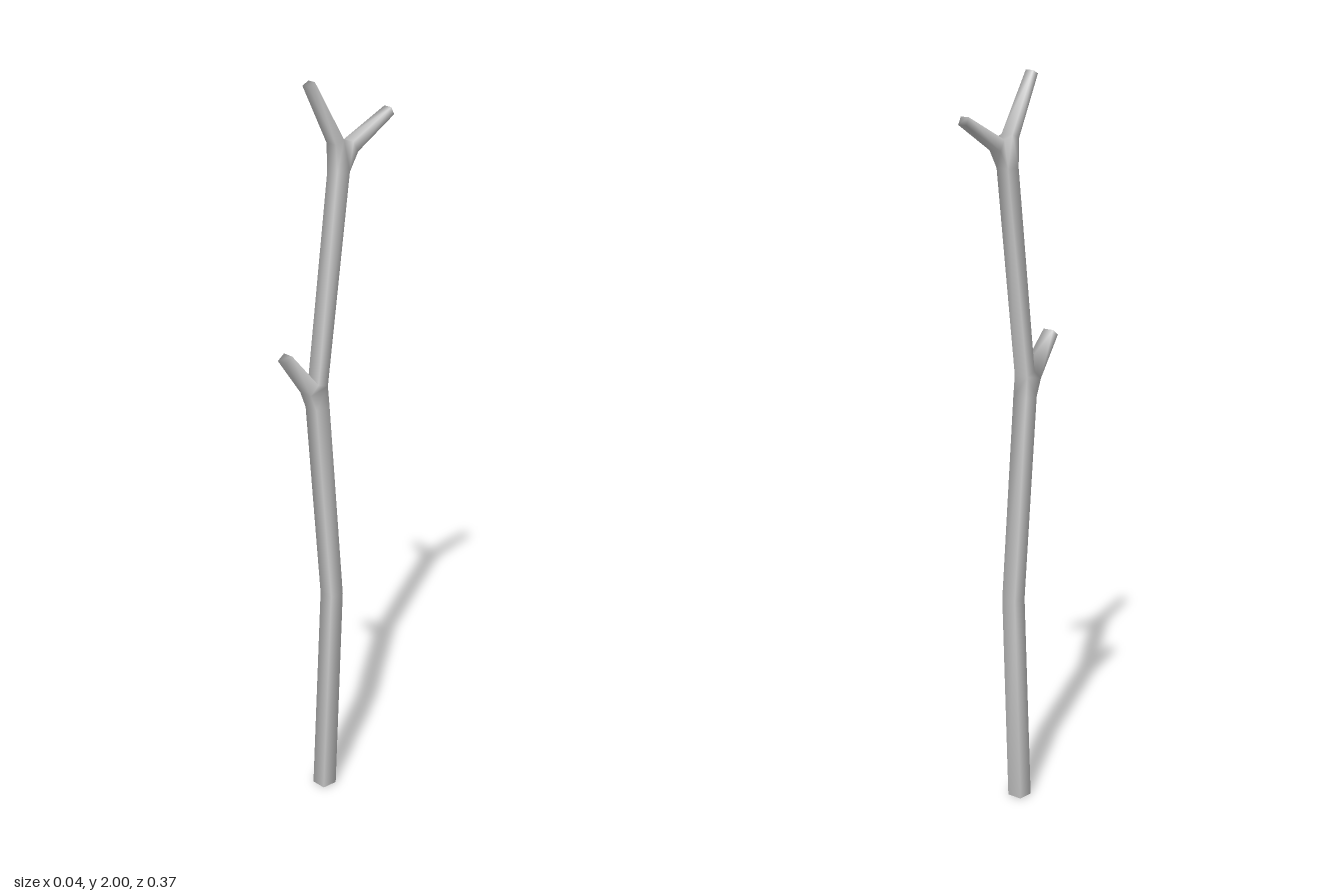
import * as THREE from 'three';

// Side outline, counter-clockwise seen from +x: [z, y, half width in x]
const OUTLINE = [
  // foot and back edge of the stem
  [0.069, 0, 0.022], [0.024, 0, 0.022], [-0.002, 0.585, 0.022],
  [0.045, 1.14, 0.022], [0.05, 1.2, 0.021], [-0.027, 1.757, 0.019],
  // back tine
  [-0.056, 1.805, 0.018], [-0.184, 1.88, 0.013], [-0.174, 1.9, 0.013], [-0.04, 1.833, 0.018],
  // front tine
  [-0.008, 1.843, 0.018], [0.083, 2, 0.012], [0.103, 1.99, 0.012], [0.019, 1.833, 0.018],
  // front edge of the stem, down to the side twig
  [0.016, 1.757, 0.019], [0.082, 1.21, 0.021],
  // side twig
  [0.167, 1.308, 0.016], [0.188, 1.292, 0.016], [0.109, 1.186, 0.021],
  // front edge below the twig
  [0.09, 1.14, 0.022], [0.04, 0.585, 0.022],
];

// Flat cells that fill the outline, as outline point numbers
const CELLS = [
  [0, 1, 2, 20], [20, 2, 3, 19],      // lower stem
  [19, 3, 4, 18], [18, 4, 15],        // twig joint
  [18, 15, 16, 17],                   // side twig
  [15, 4, 5, 14],                     // upper stem
  [14, 5, 10, 13], [5, 6, 9, 10],     // fork
  [6, 7, 8, 9], [13, 10, 11, 12],     // back and front tines
];

export function createModel() {
  const count = OUTLINE.length;
  const pos = [], index = [];

  // Left corners first, then their mirror images on the right
  for (const side of [1, -1]) {
    for (const [z, y, half] of OUTLINE) pos.push(side * half, y, z);
  }

  // Left and right faces
  for (const cell of CELLS) {
    for (let i = 1; i < cell.length - 1; i++) {
      const [a, b, c] = [cell[0], cell[i], cell[i + 1]];
      index.push(a, b, c, a + count, c + count, b + count);
    }
  }
  // Rim joining the two faces, including the blunt ends
  for (let a = 0; a < count; a++) {
    const b = (a + 1) % count;
    index.push(a, a + count, b + count, a, b + count, b);
  }

  // Square-sectioned stick with normals smoothed over the shared corners
  const geometry = new THREE.BufferGeometry();
  geometry.setAttribute('position', new THREE.Float32BufferAttribute(pos, 3));
  geometry.setIndex(index);
  geometry.computeVertexNormals();

  const stick = new THREE.Mesh(geometry, new THREE.MeshStandardMaterial({ color: 0xcccccc }));
  stick.name = 'forkedStick';
  const group = new THREE.Group();
  group.name = 'branch';
  group.add(stick);
  return group;
}
